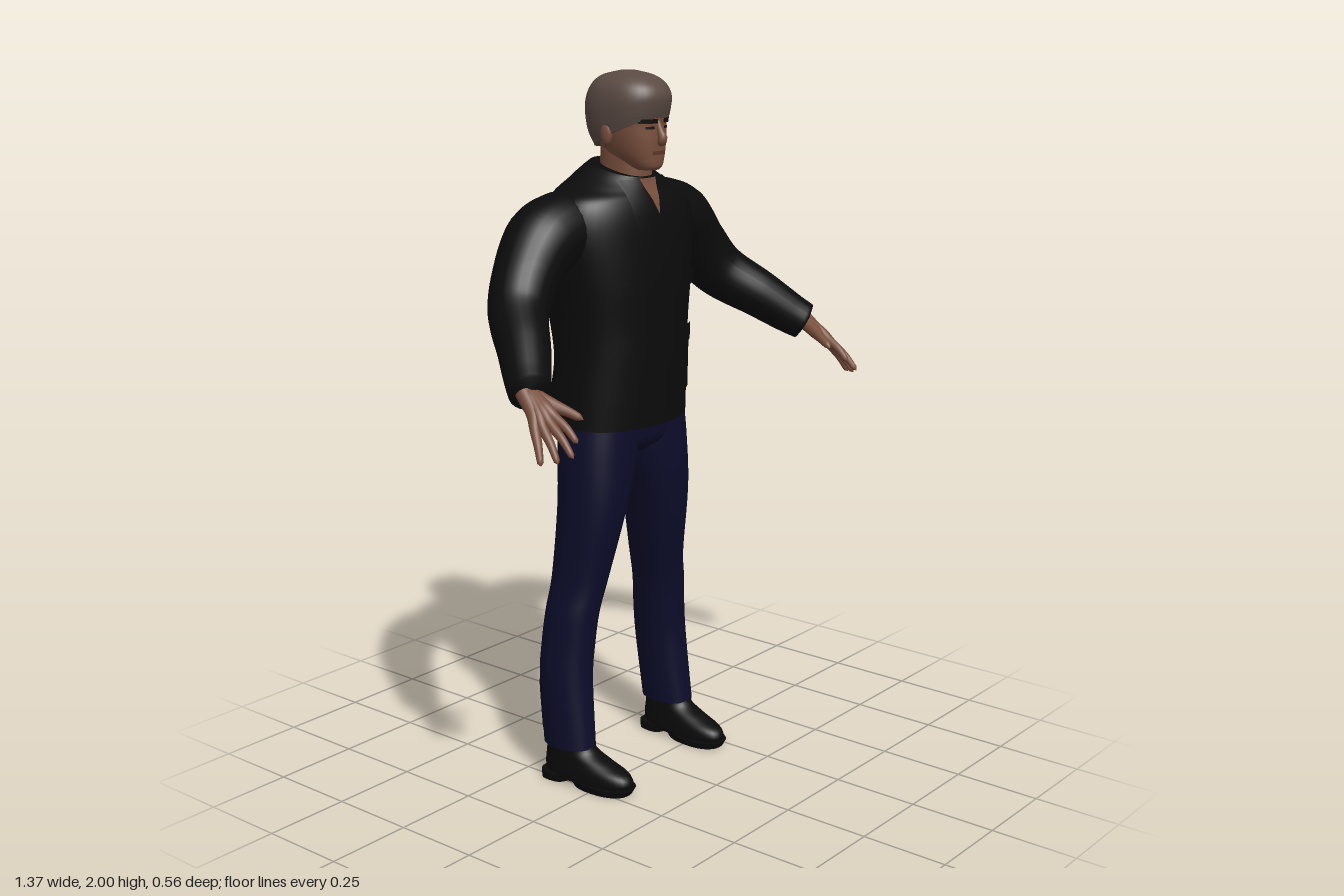
import * as THREE from 'three';

const mat = (name, color, side = THREE.FrontSide) => {
  const m = new THREE.MeshStandardMaterial({ color, side });
  m.name = name;
  return m;
};

// Rings are [y, centreX, halfWidth, frontZ, backZ, tilt]; returns smoothly interpolated rings.
function densify(rings, steps = 5) {
  const out = [];
  const n = rings.length;
  for (let i = 0; i < n - 1; i++) {
    for (let k = 0; k < steps; k++) {
      const t = k / steps;
      out.push(rings[i].map((_, c) => {
        const b = rings[i][c], d = rings[i + 1][c];
        const ma = i > 0 ? (d - rings[i - 1][c]) / 2 : d - b;
        const mb = i < n - 2 ? (rings[i + 2][c] - b) / 2 : d - b;
        const t2 = t * t, t3 = t2 * t;
        return (2 * t3 - 3 * t2 + 1) * b + (t3 - 2 * t2 + t) * ma + (3 * t2 - 2 * t3) * d + (t3 - t2) * mb;
      }));
    }
  }
  out.push(rings[n - 1]);
  return out;
}

// Closed superellipse body through rings listed from bottom to top.
function loft(rings, { power = 2.3, sides = 36, steps = 5 } = {}) {
  const dense = densify(rings, steps), pos = [], idx = [];
  const bend = v => Math.sign(v) * Math.pow(Math.abs(v), 2 / power);
  const addRing = ([y, cx, rx, zf, zb, tilt]) => {
    for (let j = 0; j < sides; j++) {
      const a = j / sides * Math.PI * 2;
      const dz = (zf - zb) / 2 * bend(Math.sin(a));
      pos.push(cx + rx * bend(Math.cos(a)), y + tilt * dz, (zf + zb) / 2 + dz);
    }
  };
  dense.forEach(addRing);
  for (let i = 0; i < dense.length - 1; i++) for (let j = 0; j < sides; j++) {
    const a = i * sides + j, b = i * sides + (j + 1) % sides;
    idx.push(a, a + sides, b, b, a + sides, b + sides);
  }
  [[dense[0], false], [dense[dense.length - 1], true]].forEach(([r, top]) => {
    const base = pos.length / 3;
    addRing(r);
    pos.push(r[1], r[0], (r[3] + r[4]) / 2);
    for (let j = 0; j < sides; j++) {
      const k = base + (j + 1) % sides;
      idx.push(base + sides, top ? k : base + j, top ? base + j : k);
    }
  });
  const g = new THREE.BufferGeometry();
  g.setAttribute('position', new THREE.Float32BufferAttribute(pos, 3));
  g.setIndex(idx);
  g.computeVertexNormals();
  return g;
}

// Thin sheet lying on the front (dir 1) or back (dir -1) of a lofted body.
// span(t) gives [x0, x1] as t runs from y0 to y1.
function patch(rings, y0, y1, span, offset = 0.004, dir = 1, power = 2.3) {
  const dense = densify(rings);
  const depth = (x, y) => {
    let prev = null;
    for (const [ry, cx, rx, zf, zb, tilt] of dense) {
      const u = Math.min(1, Math.abs((x - cx) / rx));
      const dz = dir * (zf - zb) / 2 * Math.pow(1 - Math.pow(u, power), 1 / power);
      const p = [ry + tilt * dz, (zf + zb) / 2 + dz];
      if (prev && p[0] >= y) return prev[1] + (p[1] - prev[1]) * Math.max(0, (y - prev[0]) / (p[0] - prev[0]));
      prev = p;
    }
    return prev[1];
  };
  const g = new THREE.PlaneGeometry(1, 1, 8, 10), p = g.attributes.position;
  for (let i = 0; i < p.count; i++) {
    const t = p.getY(i) + 0.5, y = y0 + (y1 - y0) * t;
    const [a, b] = span(t).sort((m, n) => m - n);
    const x = a + (b - a) * (p.getX(i) + 0.5);
    p.setXYZ(i, x, y, depth(x, y) + dir * offset);
  }
  g.computeVertexNormals();
  return g;
}

// Tapered tube through [x, y, z, radius] points.
function limb(points, sides = 20, seg = 32) {
  const curve = new THREE.CatmullRomCurve3(points.map(p => new THREE.Vector3(p[0], p[1], p[2])));
  const g = new THREE.TubeGeometry(curve, seg, 1, sides), pos = g.attributes.position;
  const v = new THREE.Vector3(), n = points.length - 1;
  for (let i = 0; i < pos.count; i++) {
    const u = Math.floor(i / (sides + 1)) / seg, c = curve.getPointAt(u);
    const f = curve.getUtoTmapping(u) * n, k = Math.min(n - 1, Math.floor(f));
    const r = THREE.MathUtils.lerp(points[k][3], points[k + 1][3], f - k);
    v.fromBufferAttribute(pos, i).sub(c).multiplyScalar(r).add(c);
    pos.setXYZ(i, v.x, v.y, v.z);
  }
  g.computeVertexNormals();
  return g;
}

const TORSO = [
  [1.04, 0, 0.222, 0.04, -0.265, -0.05], [1.12, 0, 0.218, 0.045, -0.262, 0], [1.22, 0, 0.212, 0.05, -0.25, 0],
  [1.32, 0, 0.218, 0.052, -0.262, 0], [1.44, 0, 0.238, 0.053, -0.28, 0], [1.55, 0, 0.255, 0.045, -0.277, 0],
  [1.62, 0, 0.25, 0.035, -0.258, 0], [1.67, 0, 0.225, 0.02, -0.235, -0.05], [1.7, 0, 0.165, 0.008, -0.212, -0.15],
  [1.722, 0, 0.12, 0, -0.195, -0.22], [1.74, 0, 0.088, -0.005, -0.178, -0.25]];
const HEAD = [
  [1.738, 0, 0.03, 0.026, -0.03, 0], [1.75, 0, 0.046, 0.034, -0.07, 0], [1.78, 0, 0.066, 0.036, -0.125, 0],
  [1.82, 0, 0.079, 0.037, -0.158, 0], [1.86, 0, 0.086, 0.035, -0.172, 0], [1.9, 0, 0.088, 0.037, -0.178, 0],
  [1.95, 0, 0.075, 0.02, -0.16, 0], [1.98, 0, 0.03, -0.03, -0.11, 0]];
const HAIR = [
  [1.835, 0, 0.09, 0.039, -0.162, 0.44], [1.87, 0, 0.097, 0.046, -0.186, 0.28], [1.92, 0, 0.099, 0.05, -0.194, 0.12],
  [1.96, 0, 0.088, 0.036, -0.178, 0.03], [1.986, 0, 0.062, 0.003, -0.145, 0], [1.999, 0, 0.02, -0.045, -0.095, 0]];
const legRings = s => [
  [0.11, 0.223, 0.058, -0.03, -0.19, 0], [0.3, 0.215, 0.065, -0.05, -0.207, 0], [0.4, 0.205, 0.066, -0.05, -0.207, 0],
  [0.5, 0.193, 0.067, -0.043, -0.2, 0], [0.6, 0.17, 0.068, -0.028, -0.195, 0], [0.8, 0.139, 0.088, 0.006, -0.19, 0],
  [0.95, 0.112, 0.108, 0.012, -0.2, 0], [1.08, 0.1, 0.105, 0.01, -0.21, 0]].map(r => [r[0], s * r[1], ...r.slice(2)]);
const SHOE = [
  [0.018, 0, 0.055, 0.104, -0.186, 0], [0.035, 0, 0.056, 0.107, -0.19, 0], [0.055, 0, 0.053, 0.092, -0.19, 0],
  [0.075, 0, 0.049, 0.04, -0.187, 0], [0.1, 0, 0.047, -0.02, -0.183, 0], [0.135, 0, 0.046, -0.04, -0.178, 0]];

export function createModel() {
  const root = new THREE.Group();
  const skin = mat('skin', 0x774e3c, THREE.DoubleSide), lip = mat('lips', 0x5c372b, THREE.DoubleSide);
  const hair = mat('hair', 0x5a4a43), dark = mat('browsAndEyes', 0x140e0c, THREE.DoubleSide);
  const jacket = mat('jacketBlack', 0x0b0b0b, THREE.DoubleSide), jeans = mat('navyDenim', 0x0c0c2a);
  const leather = mat('shoeBlack', 0x0a0a0a), stain = mat('denimStain', 0x090a0e, THREE.DoubleSide);
  const add = (name, g, m, parent = root) => {
    const mesh = new THREE.Mesh(g, m);
    mesh.name = name;
    parent.add(mesh);
    return mesh;
  };

  // Head, hair and neck
  add('neck', loft([[1.64, 0, 0.07, -0.005, -0.16, 0], [1.72, 0, 0.062, -0.008, -0.155, 0], [1.82, 0, 0.06, -0.01, -0.15, 0]]), skin);
  add('head', loft(HEAD), skin);
  add('hair', loft(HAIR), hair);
  add('nose', limb([[0, 1.868, 0.03, 0.007], [0, 1.84, 0.041, 0.01], [0, 1.824, 0.048, 0.013], [0, 1.813, 0.042, 0.012], [0, 1.81, 0.03, 0.004]], 12, 16), skin);
  add('mouth', patch(HEAD, 1.78, 1.79, t => [-0.026, 0.026], 0.003), lip);
  for (const s of [1, -1]) {
    const ear = add('ear', new THREE.SphereGeometry(1, 14, 10), skin);
    ear.scale.set(0.012, 0.032, 0.019);
    ear.position.set(s * 0.088, 1.835, -0.075);
    add('eyebrow', patch(HEAD, 1.864, 1.876, t => [s * 0.012, s * 0.064], 0.006), dark);
    add('eye', patch(HEAD, 1.849, 1.856, t => [s * 0.02, s * 0.046], 0.003), dark);
  }

  // Jacket body with throat opening, lapels, front edge and pocket flaps
  add('jacketBody', loft(TORSO, { sides: 48 }), jacket);
  add('throat', patch(TORSO, 1.62, 1.715, t => [-0.034 * t, 0.034 * t], 0.003), skin);
  add('frontEdge', patch(TORSO, 1.045, 1.61, t => [-0.016, 0.012], 0.006), jacket);
  for (const s of [1, -1]) {
    add('lapel', patch(TORSO, 1.4, 1.715, t => [s * (0.012 + 0.026 * t), s * (0.02 + 0.13 * t * (1.6 - t))], 0.009), jacket);
    add('hipPocket', patch(TORSO, 1.11, 1.26, t => [s * 0.06, s * 0.17], 0.005), jacket);
    add('hipPocketFlap', patch(TORSO, 1.25, 1.3, t => [s * 0.055, s * 0.175], 0.009), jacket);
    add('chestPocketFlap', patch(TORSO, 1.41, 1.45, t => [s * 0.09, s * 0.18], 0.008), jacket);
  }

  // Sleeves and hands
  for (const s of [1, -1]) {
    const arm = new THREE.Group();
    arm.name = s > 0 ? 'leftArm' : 'rightArm';
    root.add(arm);
    const path = pts => pts.map(([x, y, z, r]) => [s * x, y, z, r]);
    add('sleeve', limb(path([
      [0.14, 1.575, -0.135, 0.1], [0.21, 1.58, -0.135, 0.108], [0.285, 1.56, -0.132, 0.104], [0.365, 1.48, -0.12, 0.09],
      [0.43, 1.4, -0.087, 0.081], [0.51, 1.325, 0.005, 0.07], [0.572, 1.265, 0.075, 0.06], [0.602, 1.238, 0.112, 0.054],
      [0.604, 1.236, 0.115, 0.01]]), 24, 60), jacket, arm);
    // Each finger runs from the wrist through its knuckle, so together they form the palm
    const fingers = [
      ['indexFinger', [0.604, 1.195, 0.192], [0.6, 1.14, 0.265]],
      ['middleFinger', [0.621, 1.183, 0.192], [0.63, 1.11, 0.277]],
      ['ringFinger', [0.637, 1.174, 0.183], [0.656, 1.096, 0.25]],
      ['littleFinger', [0.649, 1.17, 0.168], [0.68, 1.09, 0.215]]];
    fingers.forEach(([name, k, t], i) => {
      const mid = k.map((v, c) => v * 0.45 + t[c] * 0.55 + (c === 1 ? 0.006 : 0));
      add(name, limb(path([[0.592 + i * 0.008, 1.245, 0.1, 0.022], [...k.map((v, c) => v * 0.6 + [0.605, 1.24, 0.12][c] * 0.4), 0.019],
        [...k, 0.014], [...mid, 0.011], [...t.map((v, c) => v * 0.93 + k[c] * 0.07), 0.008], [...t, 0.001]]), 12, 26), skin, arm);
    });
    add('thumb', limb(path([[0.595, 1.24, 0.11, 0.02], [0.582, 1.218, 0.16, 0.019], [0.563, 1.203, 0.198, 0.013],
      [0.551, 1.19, 0.227, 0.01], [0.547, 1.185, 0.237, 0.001]]), 12, 20), skin, arm);
  }

  // Jeans
  add('jeansSeat', loft([[0.945, 0, 0.07, -0.03, -0.16, 0], [0.975, 0, 0.17, 0.005, -0.195, 0], [1.02, 0, 0.203, 0.015, -0.215, 0],
    [1.1, 0, 0.2, 0.015, -0.225, 0]]), jeans);
  for (const s of [1, -1]) {
    const rings = legRings(s);
    add(s > 0 ? 'leftLeg' : 'rightLeg', loft(rings), jeans);
    add('calfStain', patch(rings, 0.15, 0.29, t => [s * (0.2 + 0.03 * t), s * 0.268], 0.002, -1), stain);
  }
  add('thighStain', patch(legRings(1), 0.82, 0.86, t => [0.09, 0.16], 0.002, -1), stain);

  // Shoes, toes turned slightly inward
  for (const s of [1, -1]) {
    const shoe = new THREE.Group();
    shoe.name = s > 0 ? 'leftShoe' : 'rightShoe';
    shoe.position.x = s * 0.216;
    shoe.rotation.y = -s * 0.06;
    root.add(shoe);
    add('upper', loft(SHOE), leather, shoe);
    add('sole', loft([[0, 0, 0.056, 0.1, -0.085, 0], [0.02, 0, 0.06, 0.112, -0.1, 0]], { steps: 2 }), leather, shoe);
    add('heel', loft([[0, 0, 0.053, -0.1, -0.19, 0], [0.024, 0, 0.055, -0.09, -0.192, 0]], { power: 3, steps: 2 }), leather, shoe);
  }
  return root;
}
